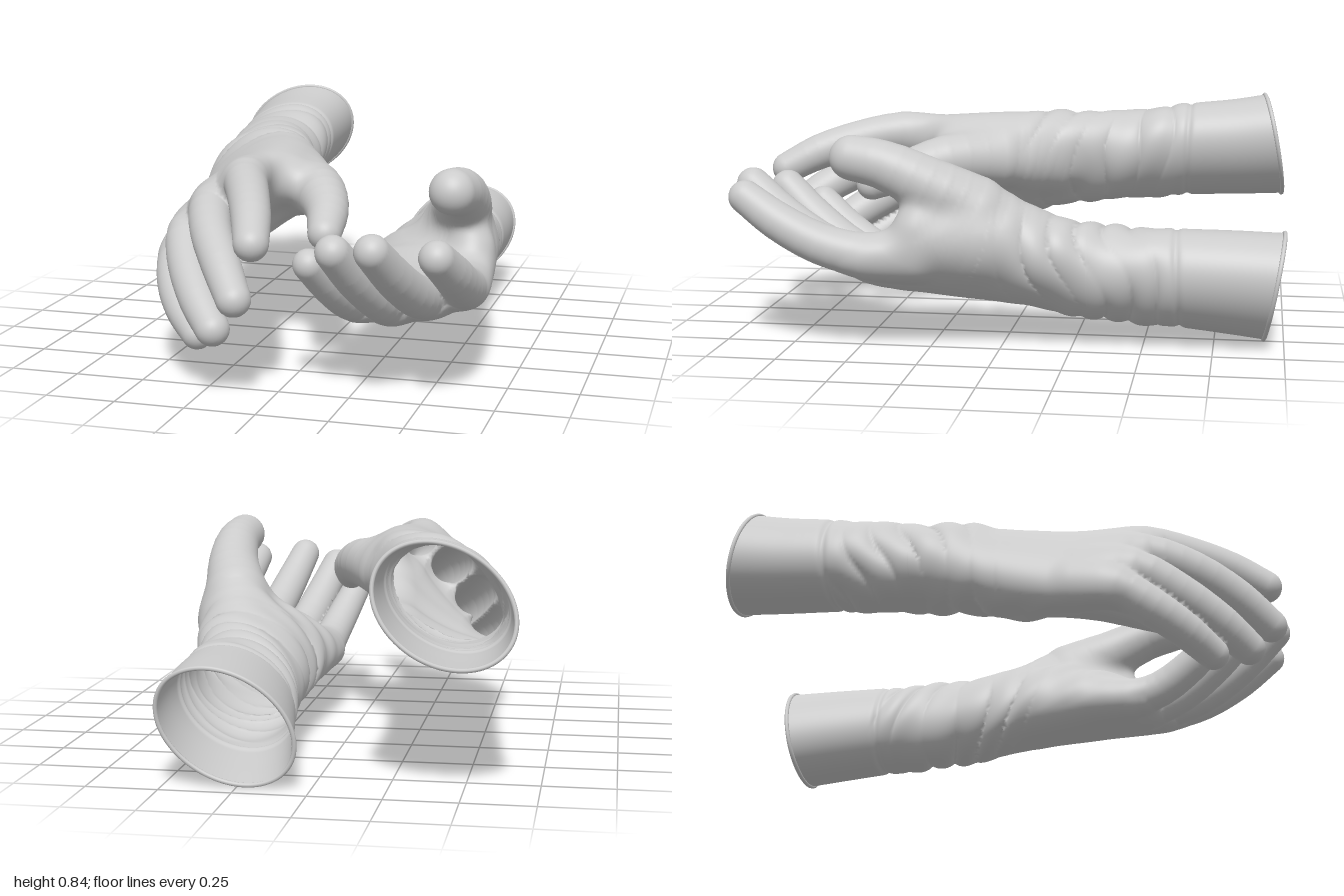
import * as THREE from 'three';

const material = new THREE.MeshStandardMaterial({ color: 0xcccccc, side: THREE.DoubleSide });
const { smoothstep, lerp, clamp } = THREE.MathUtils;
const V = (p) => new THREE.Vector3(...p);
const SEAM = -0.315; // where the sleeve meets the hand

function mesh(geometry, name) {
  const m = new THREE.Mesh(geometry, material);
  m.name = name;
  return m;
}

function indexed(positions, index) {
  const g = new THREE.BufferGeometry();
  g.setAttribute('position', new THREE.Float32BufferAttribute(positions, 3));
  g.setIndex(index);
  return g;
}

// Cloth folds: sharp valleys round the wrist, soft diagonal ones on the palm side, a crease at the hem
function folds(z, a, { seed, palmSide }) {
  const wrist = smoothstep(z, -0.66, -0.52) * (1 - smoothstep(z, -0.14, 0.05));
  const palm = smoothstep(z, -0.2, 0) * (1 - smoothstep(z, 0.2, 0.4)) * Math.max(0, palmSide * Math.sin(a));
  const wave = z * 30 + 1.5 * Math.sin(a + seed) + 0.8 * Math.sin(2 * a + seed * 2 + z * 9);
  const patch = 0.55 + 0.45 * Math.sin(2 * a + z * 11 + seed);
  const ridge = Math.pow(Math.abs(Math.sin(wave)), 0.6) - 0.7;
  const hem = Math.exp(-(((z + 0.62 + 0.008 * Math.sin(a + seed)) / 0.012) ** 2));
  return wrist * (0.02 * ridge * patch + 0.004 * Math.sin(z * 22 + 3 * a))
    + palm * 0.008 * Math.sin(z * 34 + 4 * a + seed) - 0.008 * hem;
}

// Keys [x, y, z, half width, half thickness, roll in degrees, x slant, y slant] smoothed into a lookup by z
function sectionLookup(keys) {
  const spline = (f) => new THREE.CatmullRomCurve3(keys.map((k) => V(f(k))), false, 'catmullrom', 0.5).getPoints(3000);
  const centre = spline((k) => [k[0], k[1], k[2]]);
  const size = spline((k) => [k[3], k[4], k[5] * Math.PI / 180]);
  const slant = spline((k) => [k[6] || 0, k[7] || 0, 0]);
  const z0 = keys[0][2], z1 = keys[keys.length - 1][2], count = 500, table = [];
  for (let i = 0, s = 0; i <= count; i++) {
    while (s < 3000 && centre[s].z < lerp(z0, z1, i / count)) s++;
    table.push([centre[s].x, centre[s].y, Math.max(size[s].x, 0.001), Math.max(size[s].y, 0.001), size[s].z, slant[s].x, slant[s].y]);
  }
  const at = (z, out) => {
    const f = clamp((z - z0) / (z1 - z0), 0, 0.99999) * count, n = Math.floor(f);
    for (let k = 0; k < 7; k++) out[k] = lerp(table[n][k], table[n + 1][k], f - n);
    return out;
  };
  return { at, z0, z1 };
}

// Open sleeve with a rolled bead at the rim
function sleeve(sections, spec) {
  const rows = 110, cols = 76, pos = [], index = [], s = [];
  const point = (z, a) => {
    const [cx, cy, w, h, roll, sx, sy] = sections.at(z, s);
    const f = folds(z, a, spec), u = (w + f) * Math.cos(a), v = (h + f) * Math.sin(a);
    const dx = u * Math.cos(roll) - v * Math.sin(roll), dy = u * Math.sin(roll) + v * Math.cos(roll);
    return [cx + dx, cy + dy, z + sx * dx + sy * dy];
  };
  for (let i = 0; i <= rows; i++) {
    for (let j = 0; j < cols; j++) {
      pos.push(...point(lerp(sections.z0, SEAM + 0.008, i / rows), (j / cols) * Math.PI * 2));
      if (i === rows) continue;
      const a = i * cols + j, b = i * cols + (j + 1) % cols;
      index.push(a, b, a + cols, b, b + cols, a + cols);
    }
  }
  const g = indexed(pos, index);
  g.computeVertexNormals();
  const rim = Array.from({ length: 40 }, (_, j) => V(point(sections.z0, (j / 40) * Math.PI * 2)));
  const bead = new THREE.TubeGeometry(new THREE.CatmullRomCurve3(rim, true), 90, 0.008, 8, true);
  return [mesh(g, 'sleeve'), mesh(bead, 'cuffBead')];
}

// Signed distance to the palm, measured in its rolled ellipse
function palmDistance(sections, spec) {
  const s = [];
  return (x, y, z) => {
    sections.at(z, s);
    const zs = z - s[5] * (x - s[0]) - s[6] * (y - s[1]);
    sections.at(zs, s);
    const dx = x - s[0], dy = y - s[1], c = Math.cos(s[4]), n = Math.sin(s[4]);
    const u = dx * c + dy * n, v = dy * c - dx * n;
    const f = folds(zs, Math.atan2(v / s[3], u / s[2]), spec);
    const w = Math.max(s[2] + f, 0.001), h = Math.max(s[3] + f, 0.001);
    const q = Math.hypot(u / w, v / h), grad = Math.hypot(u / (w * w), v / (h * h)) + 1e-6;
    return Math.max((q - 1) * q / grad, zs - sections.z1);
  };
}

// Signed distance to a curved, round-tipped digit
function digitDistance({ path, radii }) {
  const steps = 12, segments = [];
  const pts = new THREE.CatmullRomCurve3(path.map(V)).getPoints(steps);
  const radius = (t) => {
    const f = t * (radii.length - 1), n = Math.min(Math.floor(f), radii.length - 2);
    return lerp(radii[n], radii[n + 1], f - n);
  };
  for (let i = 0; i < steps; i++) {
    const d = pts[i + 1].clone().sub(pts[i]);
    segments.push({ p: pts[i], d, l2: d.lengthSq(), r0: radius(i / steps), r1: radius((i + 1) / steps) });
  }
  return (x, y, z) => {
    let best = Infinity;
    for (const { p, d, l2, r0, r1 } of segments) {
      const a = x - p.x, b = y - p.y, c = z - p.z;
      const t = clamp((a * d.x + b * d.y + c * d.z) / l2, 0, 1);
      const e = a - t * d.x, f = b - t * d.y, g = c - t * d.z;
      best = Math.min(best, Math.sqrt(e * e + f * f + g * g) - lerp(r0, r1, t));
    }
    return best;
  };
}

// Union with a fillet of size k
function blend(a, b, k) {
  const h = Math.max(k - Math.abs(a - b), 0);
  return Math.min(a, b) - h * h / (4 * k);
}

// Skin over the zero level of a distance field: one vertex per crossed cell, one quad per crossed edge
function skin(field, min, max, step) {
  const n = min.map((m, k) => Math.ceil((max[k] - m) / step) + 1);
  const stride = [1, n[0], n[0] * n[1]];
  const val = new Float32Array(n[0] * n[1] * n[2]), cell = new Int32Array(val.length).fill(-1);
  const each = (fn, trim) => {
    for (let k = 0; k < n[2] - trim; k++) for (let j = 0; j < n[1] - trim; j++) for (let i = 0; i < n[0] - trim; i++)
      fn([i, j, k], i + j * stride[1] + k * stride[2]);
  };
  each((g, id) => { val[id] = field(...g.map((v, k) => min[k] + v * step)); }, 0);
  const pos = [], nor = [], index = [], e = 0.004;
  each((g, id) => {
    const sum = [0, 0, 0];
    let hits = 0;
    for (let d = 0; d < 3; d++) for (let c = 0; c < 8; c++) {
      if (c >> d & 1) continue;
      const bit = [c & 1, c >> 1 & 1, c >> 2 & 1];
      const o = id + bit[0] + bit[1] * stride[1] + bit[2] * stride[2];
      const a = val[o], b = val[o + stride[d]];
      if (a < 0 === b < 0) continue;
      hits++;
      bit[d] = a / (a - b);
      bit.forEach((v, k) => { sum[k] += v; });
    }
    if (!hits) return;
    cell[id] = pos.length / 3;
    const [x, y, z] = sum.map((v, k) => min[k] + (g[k] + v / hits) * step);
    pos.push(x, y, z);
    nor.push(...new THREE.Vector3(field(x + e, y, z) - field(x - e, y, z), field(x, y + e, z) - field(x, y - e, z),
      field(x, y, z + e) - field(x, y, z - e)).normalize().toArray());
  }, 1);
  each((g, id) => {
    for (let d = 0; d < 3; d++) {
      const u = (d + 1) % 3, v = (d + 2) % 3;
      if (!g[u] || !g[v] || val[id] < 0 === val[id + stride[d]] < 0) continue;
      const [a, b, c, f] = [id - stride[u] - stride[v], id - stride[v], id, id - stride[u]].map((q) => cell[q]);
      index.push(...(val[id] < 0 ? [a, b, c, a, c, f] : [a, c, b, a, f, c]));
    }
  }, 1);
  const g = indexed(pos, index);
  g.setAttribute('normal', new THREE.Float32BufferAttribute(nor, 3));
  return g;
}

function glove(name, spec) {
  const group = new THREE.Group();
  group.name = name;
  const sections = sectionLookup(spec.sections);
  const palm = palmDistance(sections, spec);
  const fingers = spec.fingers.map((path, i) => digitDistance({ path, radii: i < 3 ? large : small }));
  const thumb = spec.thumb.map(digitDistance);
  const field = (x, y, z) => {
    const f = Math.min(...fingers.map((d) => d(x, y, z)));
    const t = blend(thumb[0](x, y, z), thumb[1](x, y, z), 0.06);
    return blend(blend(palm(x, y, z), f, 0.05), t, 0.09);
  };
  group.add(...sleeve(sections, spec), mesh(skin(field, spec.min, spec.max, 0.012), 'hand'));
  return group;
}

const large = [0.072, 0.078, 0.073, 0.068, 0.06];
const small = [0.066, 0.072, 0.068, 0.063, 0.056];

// Back of the hand up; fingers run from index to little, thumb is followed by its web
const rightGlove = {
  seed: 0.7, palmSide: -1, min: [-0.66, 0.06, SEAM], max: [0.2, 0.86, 1.02],
  sections: [
    [-0.44, 0.63, -0.95, 0.247, 0.182, 31, -0.09, 0.2], [-0.43, 0.617, -0.8, 0.238, 0.176, 31, -0.04, 0.08],
    [-0.415, 0.605, -0.6, 0.23, 0.17, 31], [-0.39, 0.58, -0.35, 0.22, 0.165, 32],
    [-0.36, 0.575, -0.15, 0.245, 0.165, 34], [-0.325, 0.555, 0, 0.275, 0.162, 38],
    [-0.32, 0.54, 0.2, 0.285, 0.14, 43, 0.05, 0.05], [-0.35, 0.53, 0.4, 0.28, 0.105, 47, 0.12, 0.12],
    [-0.345, 0.52, 0.48, 0.255, 0.085, 47, 0.15, 0.15], [-0.34, 0.515, 0.53, 0.2, 0.05, 47, 0.15, 0.15],
    [-0.34, 0.515, 0.545, 0, 0, 47, 0.15, 0.15],
  ],
  fingers: [
    [[-0.23, 0.64, 0.33], [-0.195, 0.68, 0.5], [-0.135, 0.66, 0.65], [-0.075, 0.615, 0.8], [-0.035, 0.555, 0.92]],
    [[-0.34, 0.56, 0.33], [-0.325, 0.58, 0.5], [-0.265, 0.53, 0.67], [-0.175, 0.45, 0.82], [-0.095, 0.365, 0.93]],
    [[-0.42, 0.47, 0.3], [-0.425, 0.47, 0.47], [-0.37, 0.395, 0.62], [-0.28, 0.305, 0.76], [-0.2, 0.235, 0.85]],
    [[-0.48, 0.4, 0.27], [-0.485, 0.375, 0.42], [-0.45, 0.305, 0.54], [-0.38, 0.235, 0.65], [-0.3, 0.178, 0.73]],
  ],
  thumb: [
    { path: [[-0.23, 0.56, -0.1], [-0.1, 0.6, 0.1], [0.012, 0.605, 0.28], [0.08, 0.57, 0.42], [0.107, 0.52, 0.55]], radii: [0.07, 0.11, 0.095, 0.076, 0.06] },
    { path: [[-0.2, 0.62, 0.08], [-0.1, 0.65, 0.27]], radii: [0.09, 0.065] },
  ],
};

// Palm up
const leftGlove = {
  seed: 3.4, palmSide: 1, min: [0.03, 0.03, SEAM], max: [0.74, 0.8, 1.02],
  sections: [
    [0.28, 0.21, -0.96, 0.247, 0.184, 31, 0, -0.17], [0.3, 0.225, -0.8, 0.237, 0.178, 31, 0, -0.06],
    [0.32, 0.24, -0.6, 0.22, 0.17, 31], [0.34, 0.255, -0.35, 0.21, 0.165, 31],
    [0.355, 0.29, -0.15, 0.235, 0.165, 30], [0.365, 0.315, 0, 0.26, 0.165, 27],
    [0.375, 0.31, 0.2, 0.28, 0.145, 20, 0.08], [0.385, 0.29, 0.38, 0.28, 0.105, 15, 0.18],
    [0.385, 0.285, 0.45, 0.255, 0.08, 14, 0.2], [0.385, 0.285, 0.5, 0.2, 0.05, 14, 0.2],
    [0.385, 0.285, 0.515, 0, 0, 14, 0.2],
  ],
  fingers: [
    [[0.57, 0.335, 0.3], [0.59, 0.345, 0.47], [0.608, 0.385, 0.62], [0.605, 0.46, 0.77], [0.58, 0.54, 0.895]],
    [[0.44, 0.3, 0.3], [0.452, 0.3, 0.47], [0.447, 0.34, 0.62], [0.415, 0.44, 0.79], [0.375, 0.555, 0.93]],
    [[0.31, 0.265, 0.27], [0.315, 0.255, 0.43], [0.305, 0.3, 0.56], [0.262, 0.41, 0.72], [0.22, 0.525, 0.845]],
    [[0.2, 0.26, 0.22], [0.185, 0.24, 0.37], [0.178, 0.27, 0.49], [0.148, 0.35, 0.62], [0.107, 0.453, 0.74]],
  ],
  thumb: [
    { path: [[0.42, 0.38, -0.12], [0.485, 0.5, 0.09], [0.535, 0.59, 0.25], [0.553, 0.66, 0.4], [0.548, 0.683, 0.515]], radii: [0.07, 0.12, 0.1, 0.086, 0.08] },
    { path: [[0.5, 0.4, 0.08], [0.575, 0.46, 0.28]], radii: [0.1, 0.068] },
  ],
};

export function createModel() {
  const model = new THREE.Group();
  model.name = 'gloves';
  model.add(glove('rightGlove', rightGlove), glove('leftGlove', leftGlove));
  return model;
}
